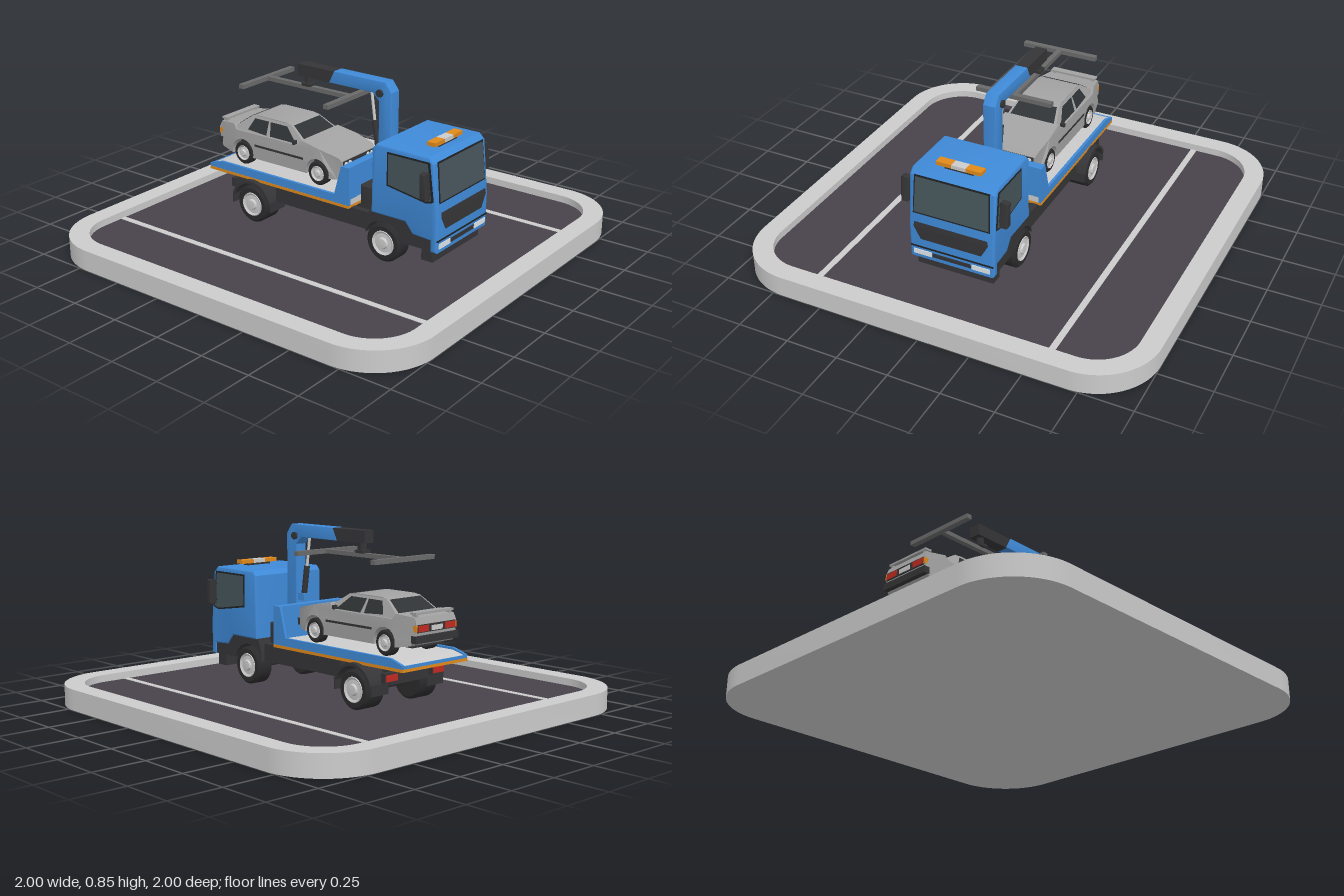
import * as THREE from 'three';
import { toCreasedNormals } from 'three/addons/utils/BufferGeometryUtils.js';

const BLUE = 0x3f8ad8, DARK = 0x353537, GLASS = 0x46555a, GREY = 0xcccccc, CAR = 0xa2a2a2, ORANGE = 0xe08a1c, RED = 0xc02a20;
const mat = (color, side = THREE.FrontSide) => new THREE.MeshStandardMaterial({ color, side });

function add(parent, name, geo, color, pos = [0, 0, 0], side) {
  const m = new THREE.Mesh(geo, mat(color, side));
  m.name = name;
  m.position.set(...pos);
  parent.add(m);
  return m;
}
const box = (p, name, w, h, d, x, y, z, color) => add(p, name, new THREE.BoxGeometry(w, h, d), color, [x, y, z]);

// Side profile of [z, y] points, extruded across x
function profile(pts, width, bevel = 0, x = 0) {
  const g = new THREE.ExtrudeGeometry(new THREE.Shape(pts.map(([a, b]) => new THREE.Vector2(a, b))), {
    depth: width - 2 * bevel, bevelEnabled: bevel > 0, bevelSize: bevel, bevelThickness: bevel, bevelOffset: -bevel, bevelSegments: 3,
  });
  g.rotateY(-Math.PI / 2).translate(x + width / 2 - bevel, 0, 0);
  return toCreasedNormals(g, 0.6);
}

// Points of a wheel arch, front to back, cut off at height y0
function arch(cz, cy, r, y0, n = 14) {
  const a = Math.asin((y0 - cy) / r);
  return Array.from({ length: n + 1 }, (_, i) => {
    const t = a + (Math.PI - 2 * a) * i / n;
    return [cz + r * Math.cos(t), cy + r * Math.sin(t)];
  });
}

// Thin flat panel pushed slightly away from the centre of its part
function panel(parent, name, pts, color, centre, lift = 0.003) {
  let p = pts.map(a => new THREE.Vector3(...a));
  const norm = () => p[1].clone().sub(p[0]).cross(p[2].clone().sub(p[0])).normalize();
  if (norm().dot(p[0].clone().sub(new THREE.Vector3(...centre))) < 0) p.reverse();
  const n = norm().multiplyScalar(lift), v = [];
  p = p.map(q => q.add(n));
  for (let i = 1; i < p.length - 1; i++) [p[0], p[i], p[i + 1]].forEach(q => v.push(q.x, q.y, q.z));
  const g = new THREE.BufferGeometry();
  g.setAttribute('position', new THREE.Float32BufferAttribute(v, 3));
  g.computeVertexNormals();
  add(parent, name, g, color, [0, 0, 0], THREE.DoubleSide);
}

function rod(parent, name, a, b, r, color) {
  const A = new THREE.Vector3(...a), B = new THREE.Vector3(...b), d = B.clone().sub(A);
  const m = add(parent, name, new THREE.CylinderGeometry(r, r, d.length(), 16), color, A.add(B).multiplyScalar(0.5).toArray());
  m.quaternion.setFromUnitVectors(new THREE.Vector3(0, 1, 0), d.normalize());
}

// Tyre and domed hub, outer face towards side s
function wheel(parent, name, s, xIn, xOut, y, z, r) {
  const g = new THREE.Group(), w = xOut - xIn, V = (a, b) => new THREE.Vector2(a, b);
  g.name = name;
  const tyre = [V(0, -w / 2), V(r * 0.88, -w / 2), V(r, -w / 2 + r * 0.12), V(r, w / 2 - r * 0.12), V(r * 0.88, w / 2), V(r * 0.66, w / 2), V(r * 0.6, w / 2 - 0.008), V(0, w / 2 - 0.008)];
  const hub = [V(r * 0.66, w / 2 - 0.006), V(r * 0.62, w / 2 + 0.002), V(r * 0.5, w / 2 - 0.005), V(r * 0.3, w / 2 - 0.003), V(r * 0.24, w / 2 + 0.006), V(0, w / 2 + 0.008)];
  add(g, 'tyre', toCreasedNormals(new THREE.LatheGeometry(tyre, 32), 0.5), 0x2b2b2d);
  add(g, 'hub', toCreasedNormals(new THREE.LatheGeometry(hub, 32), 0.5), GREY, [0, 0, 0], THREE.DoubleSide);
  g.rotation.z = -s * Math.PI / 2;
  g.position.set(s * (xIn + xOut) / 2, y, z);
  parent.add(g);
}

function roundedSquare(h, r, T = THREE.Shape) {
  const s = new T();
  s.absarc(h - r, h - r, r, 0, Math.PI / 2).absarc(r - h, h - r, r, Math.PI / 2, Math.PI);
  s.absarc(r - h, r - h, r, Math.PI, Math.PI * 1.5).absarc(h - r, r - h, r, Math.PI * 1.5, Math.PI * 2);
  return s;
}

function buildBase(root) {
  const slab = (s, h) => toCreasedNormals(new THREE.ExtrudeGeometry(s, { depth: h, bevelEnabled: false, curveSegments: 16 }).rotateX(-Math.PI / 2), 0.5);
  const rim = roundedSquare(1, 0.3);
  rim.holes.push(roundedSquare(0.905, 0.205, THREE.Path));
  add(root, 'baseRim', slab(rim, 0.1), GREY);
  add(root, 'basePlate', slab(roundedSquare(0.906, 0.205), 0.01), GREY);
  add(root, 'roadSurface', slab(roundedSquare(0.906, 0.205), 0.055), 0x48414a, [0, 0.01, 0]);
  for (const s of [1, -1]) box(root, 'laneLine', 0.03, 0.003, 1.81, s * 0.577, 0.066, 0, GREY);
}

function buildCab(t) {
  const c = [0, 0.4, 0.5];
  add(t, 'cab', profile([[0.68, 0.18], [0.682, 0.34], [0.657, 0.595], [0.63, 0.622], [0.35, 0.622], [0.33, 0.6], [0.325, 0.29],
    [0.51, 0.29], [0.55, 0.24], [0.645, 0.235], [0.645, 0.18]], 0.42, 0.012), BLUE);
  add(t, 'cabSkirt', profile([[0.65, 0.185], [0.65, 0.25], [0.55, 0.25], [0.51, 0.295], [0.32, 0.295], [0.3, 0.25], ...arch(0.395, 0.157, 0.105, 0.185).reverse()], 0.41), DARK);
  const fz = y => 0.682 - Math.max(0, y - 0.34) * 0.098;
  const face = (name, pts, color, lift) => panel(t, name, pts.map(([x, y]) => [x, y, fz(y)]), color, c, lift);
  face('windshieldSeal', [[-0.19, 0.41], [0.19, 0.41], [0.185, 0.6], [-0.185, 0.6]], 0x202224, 0.002);
  face('windshield', [[-0.184, 0.418], [0.184, 0.418], [0.178, 0.592], [-0.178, 0.592]], GLASS, 0.005);
  face('upperGrille', [[-0.185, 0.345], [0.185, 0.345], [0.18, 0.37], [-0.18, 0.37]], DARK, 0.005);
  face('lowerGrille', [[-0.15, 0.285], [0.15, 0.285], [0.185, 0.348], [-0.185, 0.348]], DARK, 0.005);
  box(t, 'bumperGap', 0.41, 0.008, 0.006, 0, 0.238, 0.68, 0x202224);
  box(t, 'bumperGrille', 0.19, 0.02, 0.006, 0, 0.21, 0.68, DARK);
  box(t, 'lowerValance', 0.38, 0.06, 0.06, 0, 0.155, 0.62, DARK);
  for (const s of [1, -1]) {
    box(t, 'headlight', 0.09, 0.024, 0.008, s * 0.145, 0.21, 0.68, 0xdfe6ea);
    const side = (name, pts, color, lift) => panel(t, name, pts.map(([z, y]) => [s * 0.21, y, z]), color, c, lift);
    side('sideWindowSeal', [[0.638, 0.6], [0.412, 0.6], [0.412, 0.44], [0.62, 0.408], [0.662, 0.42]], 0x202224, 0.001);
    side('sideWindow', [[0.628, 0.592], [0.42, 0.592], [0.42, 0.448], [0.618, 0.416], [0.65, 0.425]], GLASS, 0.003);
    add(t, 'mirror', profile([[0.655, 0.44], [0.645, 0.56], [0.615, 0.56], [0.62, 0.44]], 0.04, 0.006, s * 0.242), DARK);
    for (const y of [0.46, 0.54]) rod(t, 'mirrorArm', [s * 0.2, y, 0.63], [s * 0.235, y, 0.635], 0.006, DARK);
    wheel(t, 'frontWheel', s, 0.125, 0.212, 0.157, 0.395, 0.092);
  }
  box(t, 'beaconFoot', 0.14, 0.012, 0.035, 0, 0.627, 0.575, DARK);
  box(t, 'beaconCentre', 0.07, 0.018, 0.044, 0, 0.641, 0.575, GREY);
  for (const s of [1, -1]) box(t, 'beaconLight', 0.075, 0.018, 0.044, s * 0.0725, 0.641, 0.575, ORANGE);
}

function buildBed(t) {
  box(t, 'chassis', 0.26, 0.085, 0.84, 0, 0.23, -0.09, DARK);
  for (const s of [1, -1]) {
    add(t, 'sideSkirt', profile([[0.29, 0.19], [0.29, 0.275], [-0.25, 0.275], [-0.25, 0.19]], 0.03, 0, s * 0.175), DARK);
    add(t, 'bedRail', profile([[0.2, 0.285], [0.2, 0.47], [0.155, 0.47], [0.115, 0.325], [-0.58, 0.325], [-0.655, 0.302], [-0.655, 0.285]], 0.014, 0, s * 0.2), BLUE);
    const outer = arch(-0.37, 0.157, 0.122, 0.19), inner = arch(-0.37, 0.157, 0.108, 0.19).reverse();
    add(t, 'rearFender', profile([...outer, ...inner], 0.115, 0, s * 0.178), DARK);
    for (const z of [-0.253, -0.487]) box(t, 'mudFlap', 0.105, 0.05, 0.008, s * 0.178, 0.168, z, DARK);
    wheel(t, 'rearWheel', s, 0.115, 0.228, 0.157, -0.37, 0.092);
    box(t, 'tailLightBox', 0.08, 0.045, 0.025, s * 0.15, 0.225, -0.52, DARK);
    box(t, 'tailLight', 0.07, 0.03, 0.006, s * 0.15, 0.225, -0.534, RED);
  }
  for (const z of [0.395, -0.37]) rod(t, 'axle', [-0.17, 0.157, z], [0.17, 0.157, z], 0.02, DARK);
  box(t, 'bedTrim', 0.416, 0.014, 0.855, 0, 0.279, -0.228, ORANGE);
  add(t, 'deck', profile([[0.2, 0.286], [0.2, 0.315], [-0.58, 0.315], [-0.65, 0.298], [-0.65, 0.286]], 0.39), 0xd6d6d6);
  box(t, 'deckTail', 0.4, 0.014, 0.006, 0, 0.293, -0.653, BLUE);
  box(t, 'headboard', 0.39, 0.165, 0.043, 0, 0.3875, 0.178, BLUE);
}

function buildCrane(t) {
  add(t, 'cranePedestal', profile([[0.32, 0.2], [0.32, 0.37], [0.208, 0.37], [0.208, 0.2]], 0.26, 0.008), DARK);
  add(t, 'craneColumn', profile([[0.303, 0.36], [0.305, 0.8], [0.27, 0.845], [-0.02, 0.845], [-0.05, 0.785], [0.2, 0.785], [0.236, 0.75], [0.236, 0.36]], 0.062, 0.003), BLUE);
  add(t, 'craneBoom', profile([[-0.015, 0.843], [-0.235, 0.843], [-0.235, 0.785], [-0.045, 0.785]], 0.058), DARK);
  rod(t, 'cranePivot', [-0.042, 0.79, 0.243], [0.042, 0.79, 0.243], 0.018, DARK);
  box(t, 'cylinderBracket', 0.04, 0.035, 0.05, 0, 0.495, 0.22, BLUE);
  rod(t, 'liftCylinder', [0, 0.5, 0.215], [0, 0.645, 0.193], 0.014, DARK);
  rod(t, 'liftPiston', [0, 0.64, 0.193], [0, 0.79, 0.173], 0.007, GREY);
  // Hook and H-shaped lifting frame
  rod(t, 'hookStem', [0, 0.735, -0.195], [0, 0.79, -0.195], 0.018, DARK);
  box(t, 'hookPlate', 0.05, 0.015, 0.05, 0, 0.745, -0.195, DARK);
  box(t, 'liftBeam', 0.026, 0.02, 0.51, 0, 0.728, -0.195, 0x6a6a6a);
  for (const z of [0.06, -0.447]) box(t, 'liftCrossbar', 0.38, 0.021, 0.028, 0, 0.728, z - 0.005, 0x6a6a6a);
}

function buildCar(root) {
  const car = new THREE.Group(), wy = 0.38, wf = -0.027, wr = -0.487, mid = [0, 0.45, -0.3];
  car.name = 'car';
  root.add(car);
  const halfWidth = (y, z) => 0.152 - 0.3 * Math.max(0, Math.abs(z + 0.275) - 0.3) - 0.25 * Math.max(0, y - 0.47);
  const g = profile([...arch(wf, wy, 0.066, 0.362), ...arch(wr, wy, 0.066, 0.362), [-0.63, 0.375], [-0.65, 0.4], [-0.657, 0.47], [-0.645, 0.5], [-0.55, 0.51],
    [-0.53, 0.485], [-0.15, 0.487], [-0.13, 0.514], [-0.02, 0.495], [0.085, 0.47], [0.1, 0.455], [0.1, 0.39], [0.08, 0.365]], 2);
  const p = g.attributes.position;
  for (let i = 0; i < p.count; i++) p.setX(i, Math.sign(p.getX(i)) * halfWidth(p.getY(i), p.getZ(i)));
  add(car, 'carBody', toCreasedNormals(g, 0.4), CAR);
  box(car, 'carFloor', 0.2, 0.06, 0.66, 0, 0.39, -0.28, DARK);

  // Tapered greenhouse: ring of corners at height v (0 belt, 1 roof)
  const L = THREE.MathUtils.lerp;
  const at = (u, v, s) => [s * L(0.14, 0.105, v), L(0.48, 0.563, v), L(L(-0.09, -0.575, u), L(-0.22, -0.455, u), v)];
  const shell = (name, pts) => panel(car, name, pts, CAR, mid, 0);
  const roofZ = [-0.22, -0.455];
  for (const s of [1, -1]) {
    shell('cabinSide', [at(0, 0, s), at(1, 0, s), at(1, 1, s), at(0, 1, s)]);
    const win = (name, c) => panel(car, name, c.map(([u, v]) => at(u, v, s)), 0x2f3335, mid);
    win('frontSideWindow', [[0.13, 0.1], [0.48, 0.1], [0.51, 0.86], [0.13, 0.86]]);
    win('rearSideWindow', [[0.53, 0.1], [0.8, 0.18], [0.87, 0.86], [0.55, 0.86]]);
  }
  for (const u of [0, 1]) {
    shell(u ? 'cabinRear' : 'cabinFront', [at(u, 0, 1), at(u, 0, -1), at(u, 1, -1), at(u, 1, 1)]);
    const k = ([x, y, z]) => [x * 0.9, y, z];
    panel(car, u ? 'rearWindow' : 'carWindshield', [at(u, 0.3, 1), at(u, 0.3, -1), at(u, 0.92, -1), at(u, 0.92, 1)].map(k), 0x2f3335, mid);
  }
  add(car, 'roof', profile([[roofZ[0], 0.561], [roofZ[0] - 0.03, 0.567], [roofZ[1] + 0.03, 0.567], [roofZ[1], 0.561]], 0.209), CAR);

  // Bumpers, lights, spoiler and wheels
  box(car, 'frontBumper', 0.262, 0.032, 0.03, 0, 0.4, 0.097, DARK);
  box(car, 'rearBumper', 0.27, 0.032, 0.03, 0, 0.405, -0.65, DARK);
  box(car, 'carGrille', 0.24, 0.03, 0.006, 0, 0.437, 0.1, DARK);
  box(car, 'rearPanel', 0.24, 0.035, 0.006, 0, 0.452, -0.657, DARK);
  box(car, 'plate', 0.07, 0.022, 0.006, 0, 0.45, -0.659, GREY);
  box(car, 'spoiler', 0.24, 0.01, 0.035, 0, 0.516, -0.63, CAR);
  for (const s of [1, -1]) {
    box(car, 'spoilerFoot', 0.015, 0.025, 0.025, s * 0.105, 0.503, -0.63, CAR);
    box(car, 'carTailLight', 0.065, 0.028, 0.01, s * 0.085, 0.452, -0.657, RED);
    box(car, 'cornerLight', 0.012, 0.028, 0.022, s * 0.122, 0.452, -0.648, ORANGE);
    for (const x of [0.07, 0.1]) rod(car, 'carHeadlight', [s * x, 0.437, 0.095], [s * x, 0.437, 0.106], 0.011, 0xdfe6ea);
    box(car, 'sideTrim', 0.006, 0.01, 0.3, s * 0.152, 0.43, -0.26, DARK);
    box(car, 'doorMirror', 0.022, 0.018, 0.014, s * 0.148, 0.498, -0.165, DARK);
    for (const z of [wf, wr]) wheel(car, 'carWheel', s, 0.105, 0.15, wy - 0.006, z, 0.058);
  }
}

export function createModel() {
  const root = new THREE.Group(), truck = new THREE.Group();
  root.name = 'towTruckScene';
  truck.name = 'towTruck';
  root.add(truck);
  buildBase(root);
  buildCab(truck);
  buildBed(truck);
  buildCrane(truck);
  buildCar(root);
  return root;
}
